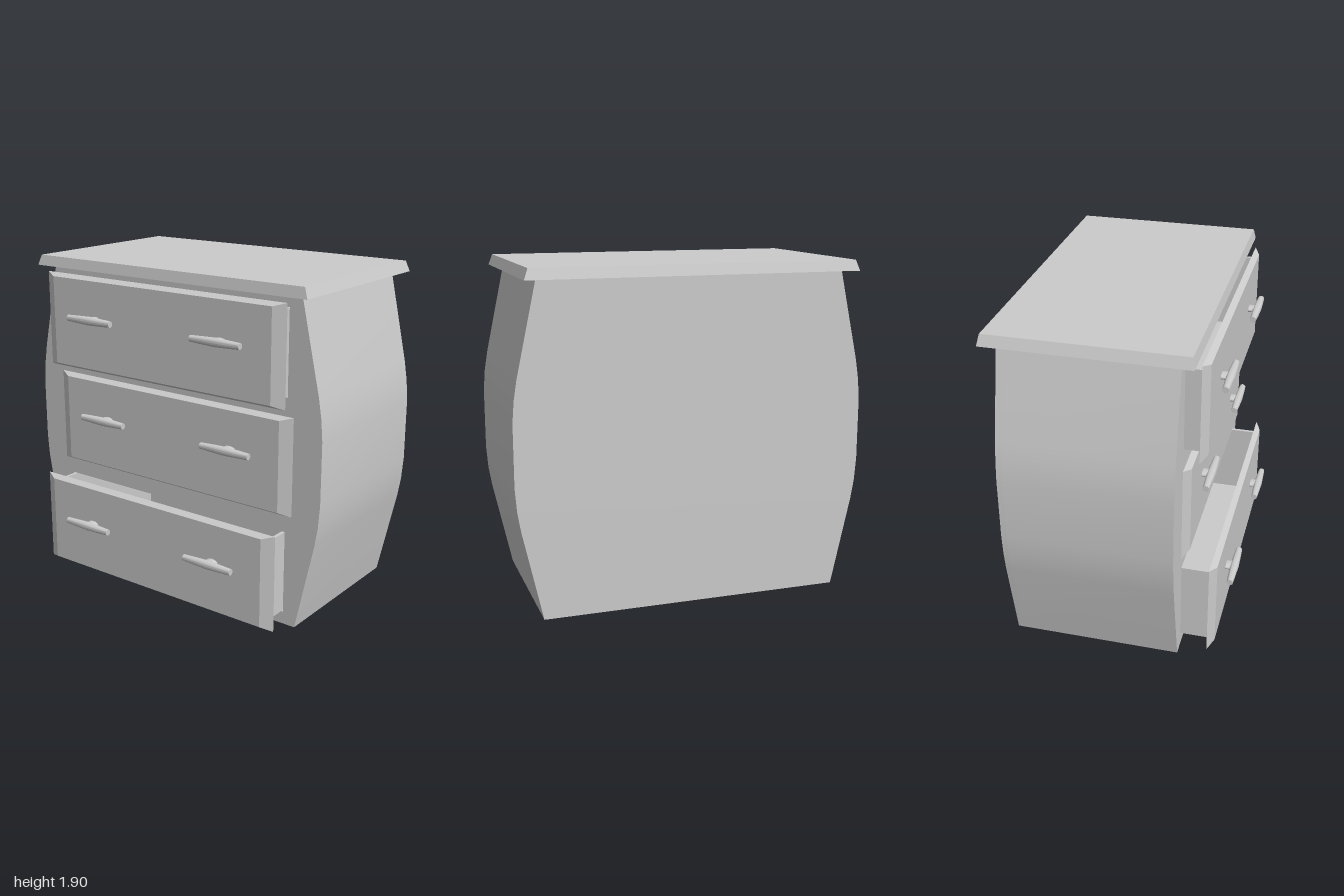
import * as THREE from 'three';
import { toCreasedNormals } from 'three/addons/utils/BufferGeometryUtils.js';

const material = new THREE.MeshStandardMaterial({ color: 0xcccccc });

function addMesh(parent, name, geometry, x = 0, y = 0, z = 0) {
  const mesh = new THREE.Mesh(geometry, material);
  mesh.name = name;
  mesh.position.set(x, y, z);
  parent.add(mesh);
  return mesh;
}

// Box whose face on the positive side of one axis is shrunk to give sloping edges
function bevelledBox(size, axis, shrink) {
  const geometry = new THREE.BoxGeometry(...size);
  const p = geometry.attributes.position;
  for (let i = 0; i < p.count; i++) {
    const v = [p.getX(i), p.getY(i), p.getZ(i)];
    if (v[axis] > 0) v.forEach((c, k) => { v[k] = c - Math.sign(c) * shrink[k]; });
    p.setXYZ(i, ...v);
  }
  geometry.computeVertexNormals();
  return geometry;
}

// Bulging cabinet outline
function cabinetShape() {
  const side = [[0.86, 0], [0.972, 0.51], [0.99, 0.62], [1, 0.75], [1, 1.1], [0.99, 1.22], [0.972, 1.33], [0.86, 1.84]];
  const mirrored = side.map(([x, y]) => [-x, y]).reverse();
  return new THREE.Shape([...side, ...mirrored].map(([x, y]) => new THREE.Vector2(x, y)));
}

function extrudeSmooth(shape, depth) {
  const geometry = new THREE.ExtrudeGeometry(shape, { depth, bevelEnabled: false });
  return toCreasedNormals(geometry, 0.5);
}

function createHandle(x, z) {
  const handle = new THREE.Group();
  handle.name = 'handle';
  // Grip swells gently towards its middle
  const profile = [[0, -0.16], [0.018, -0.16], [0.022, -0.08], [0.025, 0], [0.022, 0.08], [0.018, 0.16], [0, 0.16]];
  const gripGeometry = new THREE.LatheGeometry(profile.map(([r, y]) => new THREE.Vector2(r, y)), 16);
  const grip = addMesh(handle, 'handleGrip', toCreasedNormals(gripGeometry, 0.6), 0, 0, 0.048);
  grip.rotation.z = Math.PI / 2;
  // Flattened round post joining grip to drawer
  const post = addMesh(handle, 'handlePost', new THREE.CylinderGeometry(0.0375, 0.0375, 0.05, 16), 0, 0, 0.023);
  post.rotation.x = Math.PI / 2;
  post.scale.z = 0.45;
  handle.position.set(x, 0.04, z);
  return handle;
}

function createDrawer(y, z) {
  const drawer = new THREE.Group();
  drawer.name = 'drawer';
  addMesh(drawer, 'drawerFront', bevelledBox([1.66, 0.555, 0.033], 2, [0.07, 0.02, 0]), 0, 0, 0.0165);
  // Open-topped box behind the front
  const h = 0.465, depth = 0.89, t = 0.02, w = 1.56;
  for (const s of [-1, 1]) {
    addMesh(drawer, 'drawerSide', new THREE.BoxGeometry(t, h, depth), s * (w - t) / 2, 0, -depth / 2);
    drawer.add(createHandle(s * 0.443, 0.033));
  }
  addMesh(drawer, 'drawerBack', new THREE.BoxGeometry(w - 2 * t, h, t), 0, 0, -depth + t / 2);
  addMesh(drawer, 'drawerBottom', new THREE.BoxGeometry(w - 2 * t, t, depth - t), 0, -(h - t) / 2, -(depth - t) / 2);
  drawer.position.set(0, y, z);
  return drawer;
}

export function createModel() {
  const model = new THREE.Group();
  model.name = 'chestOfDrawers';
  const drawers = [[0.31, 0.542], [0.922, 0.387], [1.538, 0.472]];

  // Carcass with an opening for each drawer, closed by a back panel
  const carcass = cabinetShape();
  for (const [y] of drawers) {
    const [w, h] = [0.785, 0.238];
    carcass.holes.push(new THREE.Path([[-w, y - h], [-w, y + h], [w, y + h], [w, y - h]]
      .map(([px, py]) => new THREE.Vector2(px, py))));
  }
  addMesh(model, 'carcass', extrudeSmooth(carcass, 0.92), 0, 0, -0.54);
  addMesh(model, 'backPanel', extrudeSmooth(cabinetShape(), 0.03), 0, 0, -0.57);

  // Overhanging top with sloping edges
  addMesh(model, 'top', bevelledBox([1.866, 0.06, 1.1], 1, [0.022, 0, 0.012]), 0, 1.87, -0.095);

  // Drawers pulled out by different amounts
  for (const [y, z] of drawers) model.add(createDrawer(y, z));
  return model;
}
